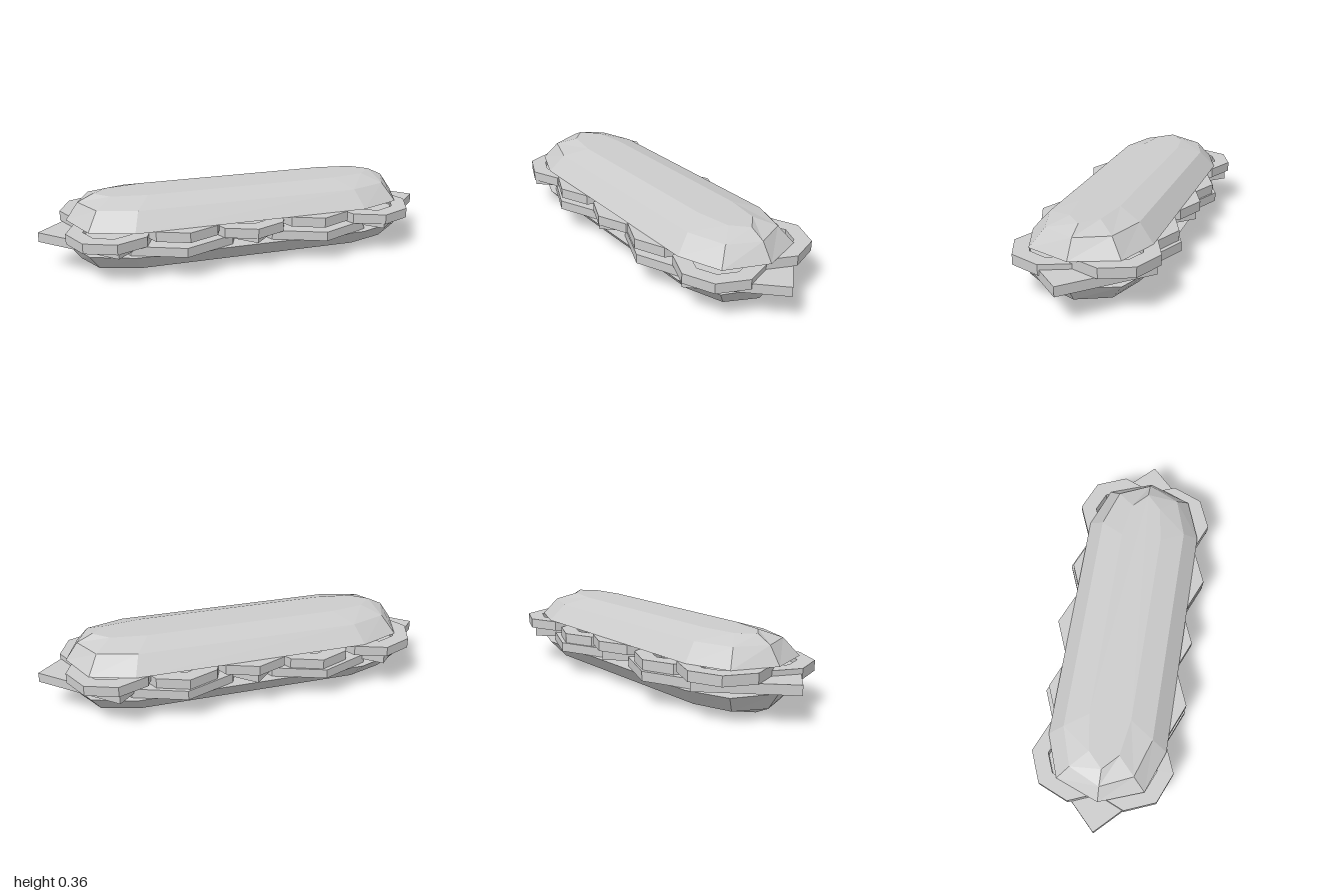
import * as THREE from 'three';

const material = new THREE.MeshStandardMaterial({ color: 0xcccccc, flatShading: true });

function addMesh(parent, name, geometry, x, y, z) {
  const mesh = new THREE.Mesh(geometry, material);
  mesh.name = name;
  mesh.position.set(x, y, z);
  parent.add(mesh);
  return mesh;
}

// Mirrors one quarter outline [tip, shoulder, side] into a full 10-point loop.
function mirrorOutline([tip, shoulder, side]) {
  const flip = ([x, z], sx, sz) => [x * sx, z * sz];
  return [
    tip, shoulder, side,
    flip(side, -1, 1), flip(shoulder, -1, 1), flip(tip, -1, 1),
    flip(shoulder, -1, -1), flip(side, -1, -1),
    flip(side, 1, -1), flip(shoulder, 1, -1),
  ];
}

// Faceted half loaf: stacked outlines joined by quads and capped at both ends.
function bunGeometry() {
  const levels = [
    { y: 0, outline: [[0.865, 0], [0.785, 0.212], [0.58, 0.288]] },
    { y: 0.084, outline: [[0.805, 0], [0.735, 0.153], [0.55, 0.214]] },
    { y: 0.12, outline: [[0.73, 0], [0.655, 0.072], [0.48, 0.1]] },
  ];
  const positions = [];
  const indices = [];
  const n = 10;
  for (const { y, outline } of levels) {
    for (const [x, z] of mirrorOutline(outline)) positions.push(x, y, z);
  }
  for (let level = 0; level < levels.length - 1; level++) {
    for (let i = 0; i < n; i++) {
      const a = level * n + i;
      const b = level * n + (i + 1) % n;
      indices.push(a, a + n, b, b, a + n, b + n);
    }
  }
  const top = (levels.length - 1) * n;
  for (let i = 1; i < n - 1; i++) {
    indices.push(0, i, i + 1); // flat cut face
    indices.push(top, top + i + 1, top + i); // crust
  }
  const indexed = new THREE.BufferGeometry();
  indexed.setAttribute('position', new THREE.Float32BufferAttribute(positions, 3));
  indexed.setIndex(indices);
  const geometry = indexed.toNonIndexed();
  geometry.computeVertexNormals();
  return geometry;
}

// Eight-sided flat ring, centred on its own height.
function ringGeometry(outer, inner, height) {
  const h = height / 2;
  const profile = [[inner, -h], [outer, -h], [outer, h], [inner, h], [inner, -h]];
  return new THREE.LatheGeometry(profile.map(([r, y]) => new THREE.Vector2(r, y)), 8);
}

export function createModel() {
  const model = new THREE.Group();
  model.name = 'sandwich';

  // Bread
  const bun = bunGeometry();
  addMesh(model, 'topBun', bun, 0, 0.24, 0);
  addMesh(model, 'bottomBun', bun, 0, 0.12, 0).rotation.x = Math.PI;

  // Large octagonal meat slices
  const meat = new THREE.CylinderGeometry(0.352, 0.352, 0.046, 8);
  for (const x of [-0.35, 0.35]) addMesh(model, 'meatSlice', meat, x, 0.143, 0);

  // Square cheese slices turned corner to corner
  const cheese = new THREE.CylinderGeometry(0.333, 0.333, 0.047, 4);
  for (const x of [-0.667, 0, 0.667]) addMesh(model, 'cheeseSlice', cheese, x, 0.167, 0);

  // Two staggered layers of vegetable rings
  const ring = ringGeometry(0.21, 0.13, 0.049);
  for (let i = -2; i <= 2; i++) {
    const side = i % 2 === 0 ? 1 : -1;
    addMesh(model, 'lowerRing', ring, i * 0.336, 0.191, side * 0.127);
    addMesh(model, 'upperRing', ring, i * 0.336, 0.216, -side * 0.142);
  }

  return model;
}
